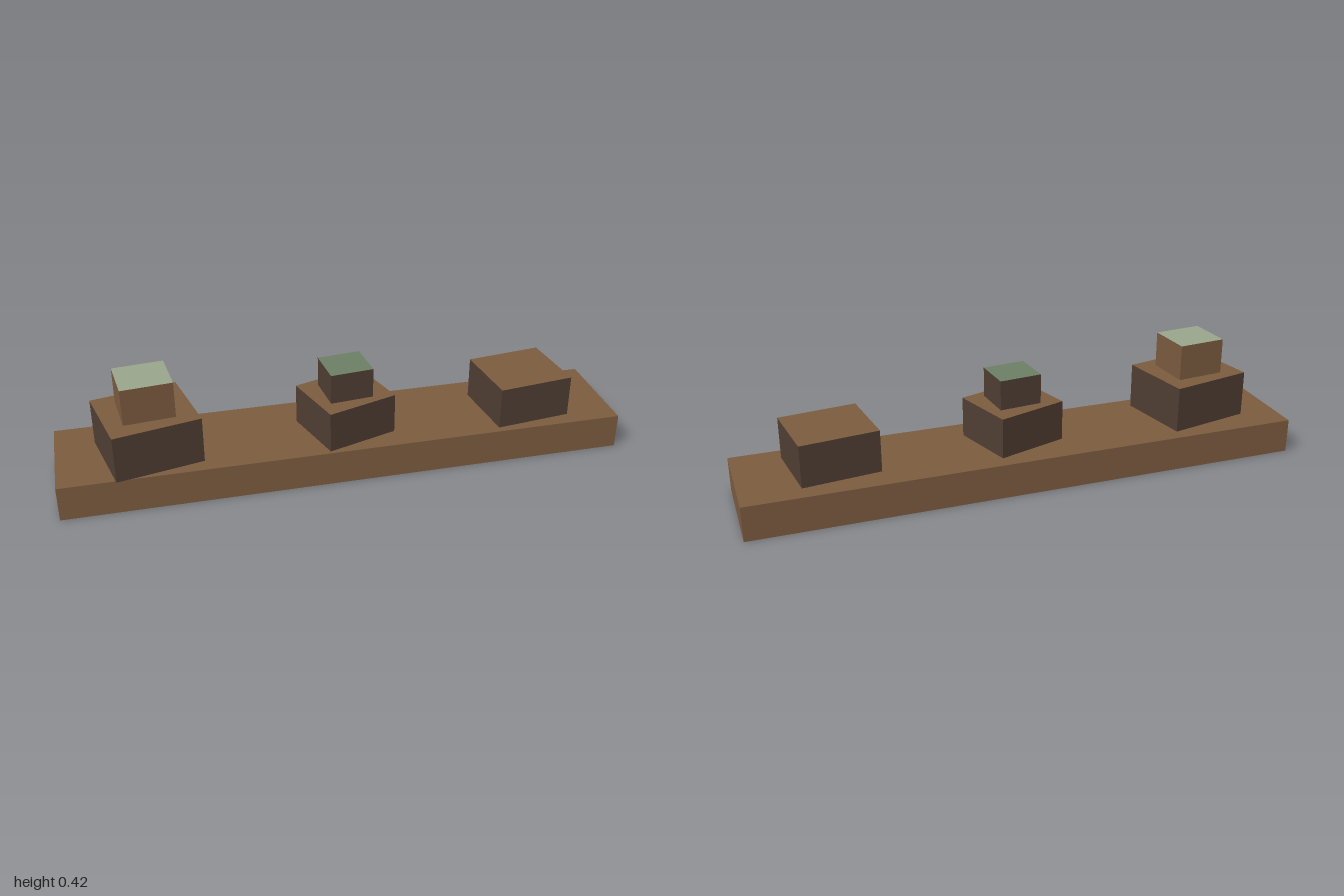
import * as THREE from 'three';

const material = (name, color) => {
  const m = new THREE.MeshStandardMaterial({ color, side: THREE.DoubleSide });
  m.name = name;
  return m;
};

// Box without its underside; the top may have its own colour
function openBox(name, [w, h, d], [x, y, z], turn, sideMaterial, topMaterial) {
  const geometry = new THREE.BoxGeometry(w, h, d);
  const index = Array.from(geometry.index.array);
  index.splice(18, 6); // underside
  geometry.setIndex(index);
  geometry.clearGroups();
  geometry.addGroup(0, 12, 0);
  geometry.addGroup(12, 6, 1);
  geometry.addGroup(18, 12, 0);
  const mesh = new THREE.Mesh(geometry, [sideMaterial, topMaterial]);
  mesh.name = name;
  mesh.position.set(x, y + h / 2, z);
  mesh.rotation.y = turn;
  return mesh;
}

export function createModel() {
  const brown = material('brown', 0x7b5b3f);
  const darkBrown = material('dark brown', 0x4f3e33);
  const paleGreen = material('pale green', 0x99a58c);
  const mossGreen = material('moss green', 0x6d7f66);

  const model = new THREE.Group();
  model.name = 'plankWithBlocks';
  model.add(
    // Hollow plank
    openBox('plank', [2, 0.125, 0.376], [0, 0, -0.005], 0, brown, brown),
    // Right stack
    openBox('rightBlock', [0.307, 0.167, 0.28], [-0.682, 0.126, 0.024], 0.21, darkBrown, brown),
    openBox('rightCap', [0.177, 0.13, 0.166], [-0.681, 0.293, 0.0235], 0.1, brown, paleGreen),
    // Middle stack
    openBox('middleBlock', [0.263, 0.146, 0.24], [0.016, 0.125, 0.016], 0.31, darkBrown, brown),
    openBox('middleCap', [0.154, 0.108, 0.144], [0.016, 0.271, 0.0175], 0.1, darkBrown, mossGreen),
    // Left block
    openBox('leftBlock', [0.277, 0.151, 0.254], [0.672, 0.125, 0.0145], 0.12, darkBrown, brown),
  );
  return model;
}
